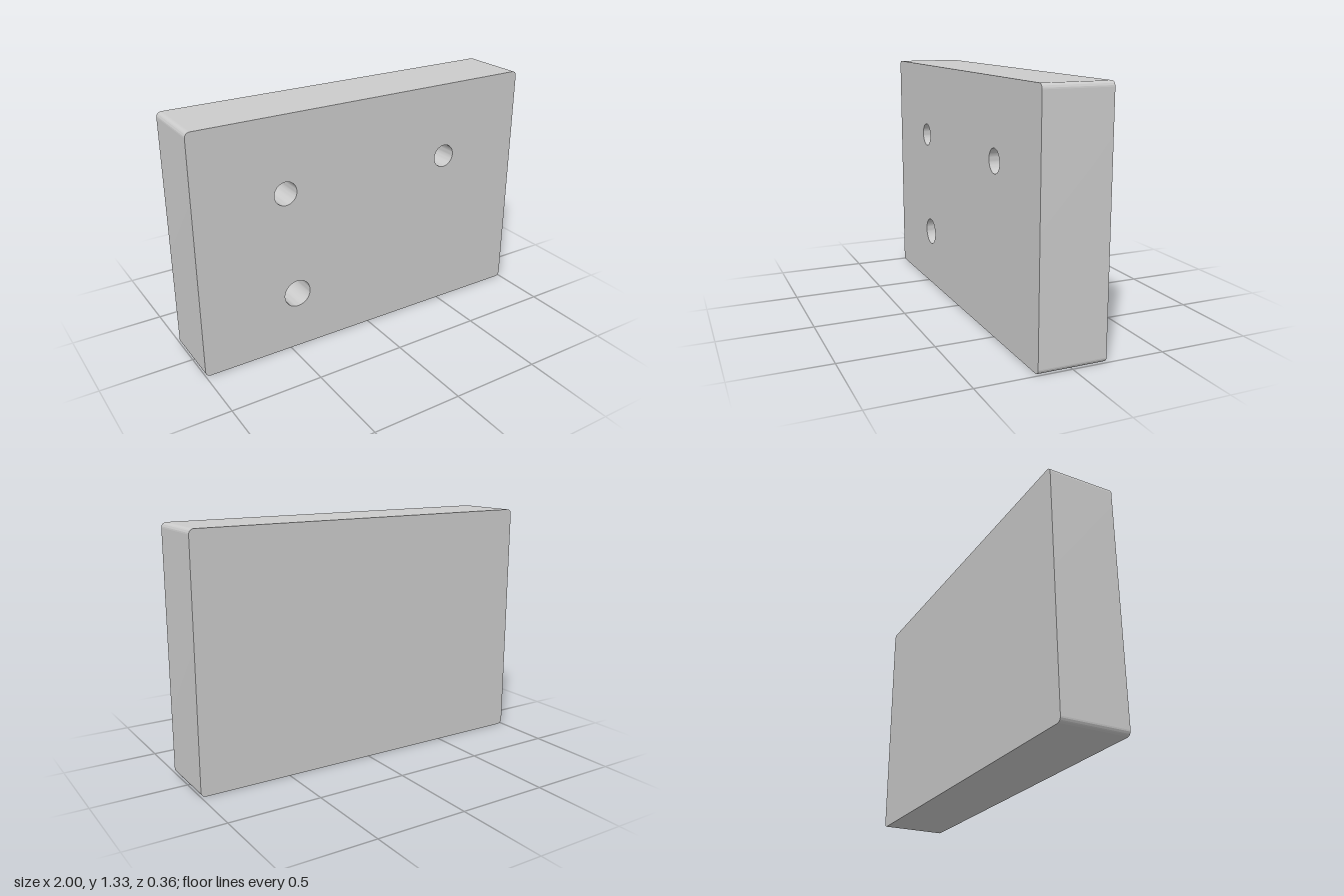
import * as THREE from 'three';
import { toCreasedNormals } from 'three/addons/utils/BufferGeometryUtils.js';

const W = 2, H = 1.33, D = 0.362, R = 0.027;
const HOLE_DEPTH = 0.27;
const SEG = 24;
const HOLES = [
  { name: 'upperRightHole', x: -0.5, y: 0.915, r: 0.064 },
  { name: 'upperLeftHole', x: 0.5, y: 0.915, r: 0.064 },
  { name: 'lowerHole', x: -0.45, y: 0.325, r: 0.076 },
];

// Rounded rectangle outline standing on y = 0
function outline() {
  const s = new THREE.Shape(), x = W / 2 - R;
  s.absarc(x, R, R, -Math.PI / 2, 0);
  s.absarc(x, H - R, R, 0, Math.PI / 2);
  s.absarc(-x, H - R, R, Math.PI / 2, Math.PI);
  s.absarc(-x, R, R, Math.PI, Math.PI * 1.5);
  s.closePath();
  return s;
}

export function createModel() {
  const group = new THREE.Group();
  group.name = 'drilledBlock';
  const material = new THREE.MeshStandardMaterial({ color: 0xcccccc });
  const add = (name, geometry) => {
    const mesh = new THREE.Mesh(geometry, material);
    mesh.name = name;
    group.add(mesh);
    return mesh;
  };

  // Front face, pierced by the holes
  const front = outline();
  for (const { x, y, r } of HOLES) {
    front.holes.push(new THREE.Path().absarc(x, y, r, 0, Math.PI * 2, true));
  }
  add('frontFace', new THREE.ShapeGeometry(front, SEG)).position.z = D / 2;

  // Solid back face
  const back = add('backFace', new THREE.ShapeGeometry(outline(), SEG));
  back.rotation.y = Math.PI;
  back.position.z = -D / 2;

  // Outer rim: only the side walls of the extrusion
  const solid = new THREE.ExtrudeGeometry(outline(), { depth: D, bevelEnabled: false, curveSegments: SEG });
  const sides = solid.groups[1];
  const rim = new THREE.BufferGeometry();
  const positions = solid.getAttribute('position').array;
  rim.setAttribute('position', new THREE.BufferAttribute(
    positions.slice(sides.start * 3, (sides.start + sides.count) * 3), 3));
  add('outerRim', toCreasedNormals(rim, 0.6)).position.z = -D / 2;

  // Blind holes: inward-facing wall and flat floor
  for (const { name, x, y, r } of HOLES) {
    const profile = [[r, 0], [r, -HOLE_DEPTH], [0, -HOLE_DEPTH]].map(p => new THREE.Vector2(...p));
    const cup = new THREE.LatheGeometry(profile, SEG * 2).rotateX(Math.PI / 2);
    add(name, toCreasedNormals(cup, 0.6)).position.set(x, y, D / 2);
  }
  return group;
}
